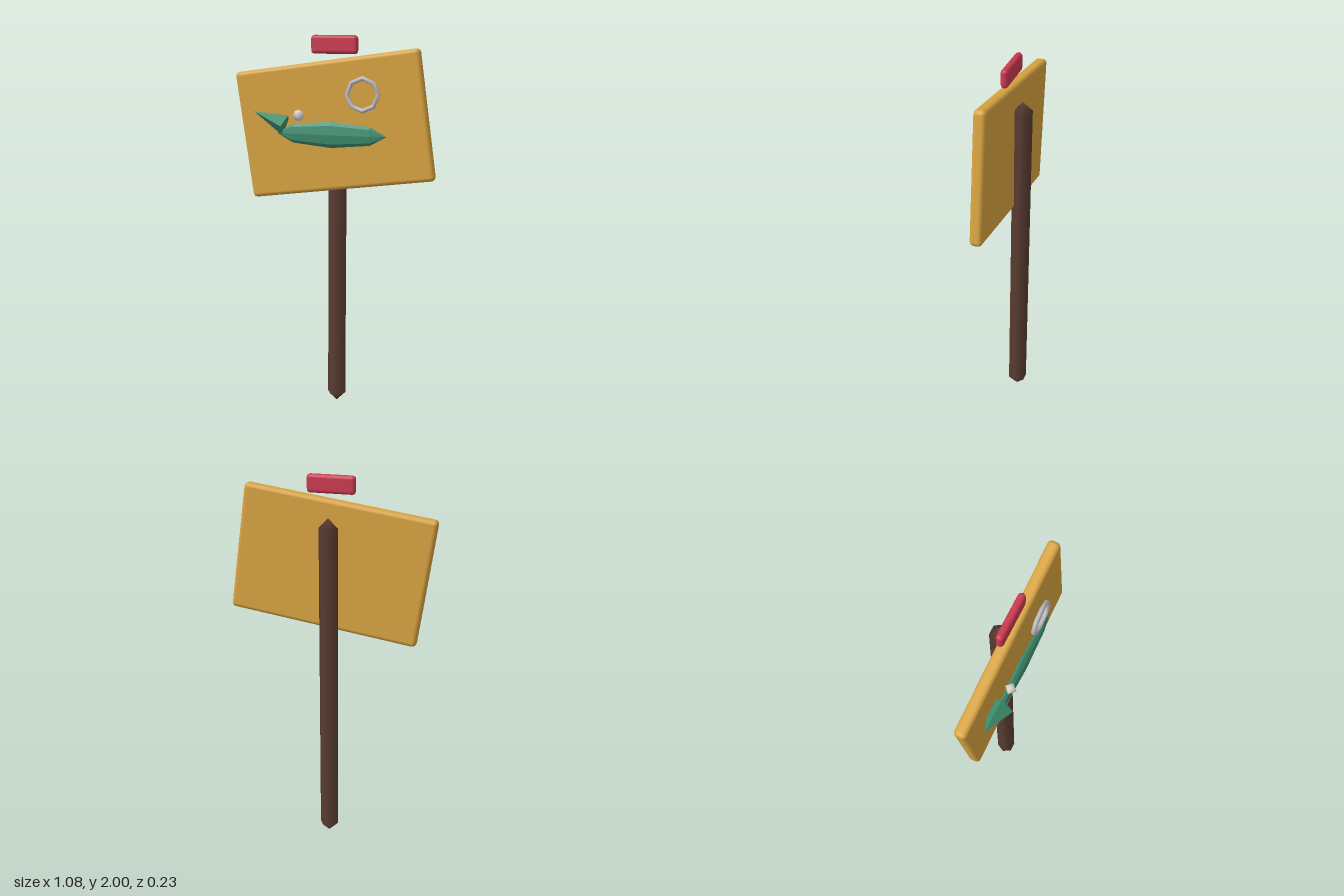
import * as THREE from 'three';
import { RoundedBoxGeometry } from 'three/addons/geometries/RoundedBoxGeometry.js';

const material = (name, color, flatShading = false) => {
  const m = new THREE.MeshStandardMaterial({ color, flatShading });
  m.name = name;
  return m;
};

export function createModel() {
  const wood = material('dark wood', 0x5a3d32);
  const gold = material('golden board', 0xd9a441);
  const red = material('red', 0xcc3a50);
  const green = material('green', 0x3f9070, true);
  const pearl = material('pale grey', 0xd8d4cc);
  const silver = material('silver', 0xc0bec6);

  const group = new THREE.Group();
  const add = (name, geometry, mat, x, y, z) => {
    const mesh = new THREE.Mesh(geometry, mat);
    mesh.name = name;
    mesh.position.set(x, y, z);
    group.add(mesh);
    return mesh;
  };

  // Six-sided post with pointed ends, leaning slightly back
  const post = add('post', new THREE.CapsuleGeometry(0.05, 1.69, 1, 6), wood, 0, 0.9, -0.063);
  post.rotation.x = -0.011;

  // Tilted sign board
  const board = add('board', new RoundedBoxGeometry(1.0, 0.67, 0.063, 2, 0.022), gold, 0, 1.54, -0.008);
  board.rotation.z = 0.14;

  // Small tag floating above the board
  add('topTag', new RoundedBoxGeometry(0.25, 0.095, 0.038, 2, 0.018), red, 0, 1.953, -0.015);

  // Fish body: a faceted spindle lying along x
  const bodyShape = new THREE.SphereGeometry(1, 8, 4);
  bodyShape.rotateZ(Math.PI / 2);
  bodyShape.scale(0.295, 0.068, 0.023);
  add('fishBody', bodyShape, green, 0, 1.498, 0.049);

  // Fish tail: a four-sided cone pointing up and outward
  const tailShape = new THREE.ConeGeometry(1, 0.183, 4);
  tailShape.scale(0.054, 1, 0.063);
  const tail = add('fishTail', tailShape, green, -0.336, 1.573, 0.053);
  tail.rotation.z = 1.2;

  // Fish eye
  add('eye', new THREE.SphereGeometry(0.03, 4, 4), pearl, -0.17, 1.594, 0.065);

  // Octagonal ring
  add('ring', new THREE.TorusGeometry(0.082, 0.012, 6, 8), silver, 0.17, 1.708, 0.057);

  return group;
}
